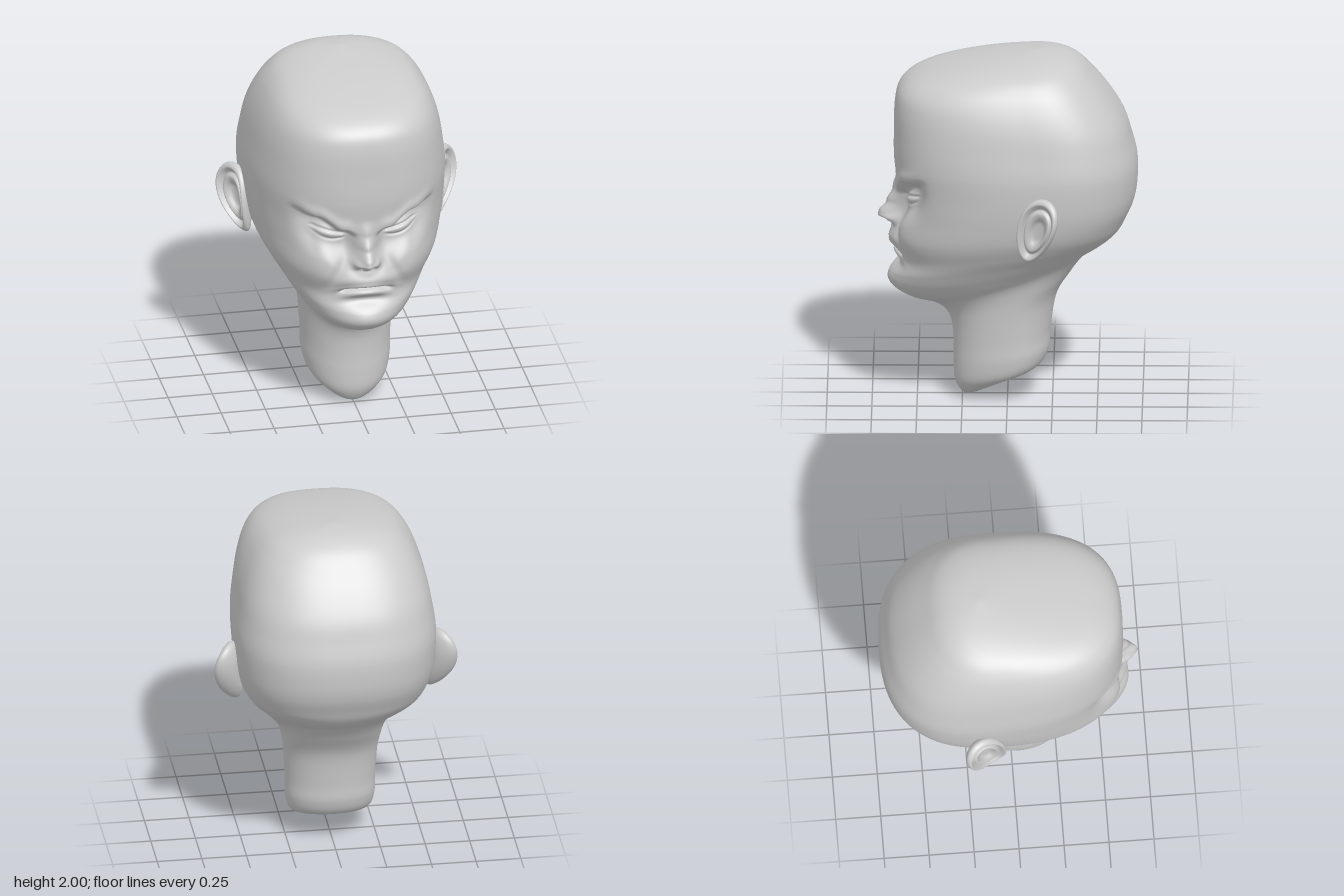
import * as THREE from 'three';
import { mergeVertices } from 'three/addons/utils/BufferGeometryUtils.js';

const skin = new THREE.MeshStandardMaterial({ color: 0xcccccc });

// Tilted cross-sections, crown to neck base: front y, front z, back y, back z, half width
const rings = [
  [2.0, -0.17, 2.0, -0.17, 0],
  [1.965, 0.1, 1.985, -0.3, 0.2],
  [1.92, 0.33, 1.94, -0.4, 0.34],
  [1.87, 0.5, 1.86, -0.48, 0.42],
  [1.8, 0.595, 1.75, -0.57, 0.475],
  [1.7, 0.625, 1.62, -0.65, 0.515],
  [1.55, 0.63, 1.5, -0.69, 0.54],
  [1.4, 0.63, 1.38, -0.72, 0.558],
  [1.25, 0.615, 1.25, -0.72, 0.555],
  [1.1, 0.61, 1.15, -0.7, 0.54],
  [0.95, 0.62, 1.06, -0.66, 0.51],
  [0.82, 0.6, 1.0, -0.63, 0.46],
  [0.72, 0.64, 0.95, -0.59, 0.41],
  [0.64, 0.63, 0.91, -0.54, 0.37],
  [0.58, 0.54, 0.87, -0.47, 0.33],
  [0.55, 0.42, 0.82, -0.42, 0.295],
  [0.5, 0.345, 0.74, -0.36, 0.275],
  [0.42, 0.31, 0.6, -0.275, 0.26],
  [0.3, 0.3, 0.4, -0.24, 0.25],
  [0.2, 0.3, 0.28, -0.23, 0.248],
  [0.1, 0.295, 0.19, -0.18, 0.225],
  [0.04, 0.27, 0.13, -0.04, 0.16],
  [0.01, 0.24, 0.06, 0.1, 0.08],
  [0.0, 0.2, 0.0, 0.2, 0],
];

const step = (v, a, b) => THREE.MathUtils.smoothstep(v, a, b);
const bump = (dx, dy, sx, sy) => Math.exp(-((dx / sx) ** 2) - (dy / sy) ** 2);

// Smooth value through [position, value] pairs given in rising order
function along(table, p) {
  if (p <= table[0][0]) return table[0][1];
  for (let i = 1; i < table.length; i++) {
    const [a, va] = table[i - 1], [b, vb] = table[i];
    if (p <= b) return va + (vb - va) * step(p, a, b);
  }
  return table[table.length - 1][1];
}

// Catmull-Rom blend of the cross-sections
function ringAt(i, t) {
  const at = (k) => rings[Math.min(Math.max(k, 0), rings.length - 1)];
  const [a, b, c, d] = [at(i - 1), at(i), at(i + 1), at(i + 2)];
  return b.map((v, k) => v + 0.5 * t * (c[k] - a[k] + t * (2 * a[k] - 5 * v + 4 * c[k] - d[k]
    + t * (3 * (v - c[k]) + d[k] - a[k]))));
}

const noseHeight = [[0.94, 0], [0.985, 0.015], [1.01, 0.055], [1.035, 0.104], [1.06, 0.104],
  [1.12, 0.062], [1.2, 0.025], [1.29, 0]];
const noseWidth = [[0.98, 0.045], [1.04, 0.046], [1.12, 0.036], [1.25, 0.035]];
const browLine = [[0.05, 1.2], [0.12, 1.225], [0.27, 1.305], [0.42, 1.36]];

// Forward relief of the face at (x, y)
function faceRelief(x, y) {
  const ax = Math.abs(x);
  // nose and nostril wings
  let d = along(noseHeight, y) * Math.exp(-((x / along(noseWidth, y)) ** 2));
  d += 0.035 * bump(ax - 0.055, y - 1.028, 0.024, 0.026);
  d -= 0.02 * bump(ax - 0.03, y - 1.004, 0.016, 0.01);
  // scowling brow over sunken sockets
  const below = along(browLine, ax) - y;
  const side = step(ax, 0.035, 0.12) * (1 - step(ax, 0.28, 0.43));
  d -= 0.068 * side * step(below, -0.015, 0.03) * (1 - step(below, 0.05, 0.26));
  d += 0.014 * side * bump(0, below + 0.03, 1, 0.035);
  // eyeball, lid slit and lower lid fold
  const ex = ax - 0.205, ey = y - 1.198 - 0.25 * ex;
  d += 0.036 * bump(ex, ey, 0.085, 0.04);
  const eye = 1 - step(Math.abs(ex), 0.06, 0.11);
  d -= 0.014 * eye * bump(0, ey - 0.012, 1, 0.008);
  d -= 0.01 * eye * bump(0, ey + 0.036 - 3 * ex * ex, 1, 0.008);
  // cheeks and nose-to-mouth folds
  d += 0.02 * bump(ax - 0.25, y - 1.0, 0.1, 0.11);
  d -= 0.016 * bump(ax - 0.14 - 0.5 * (1.0 - y), 0, 0.035, 1) * bump(0, y - 0.97, 1, 0.09);
  // lips, mouth line and chin
  const my = y - 0.872 + 1.1 * x * x;
  const mouth = 1 - step(ax, 0.1, 0.17);
  d += 0.042 * bump(x, y - 0.92, 0.15, 0.05);
  d += 0.028 * bump(x, my + 0.032, 0.12, 0.024);
  d += 0.014 * bump(x, my - 0.02, 0.13, 0.016);
  d -= 0.03 * mouth * bump(0, my, 1, 0.011);
  d -= 0.016 * bump(x, y - 0.79, 0.12, 0.028);
  d += 0.022 * bump(x, y - 0.69, 0.13, 0.06);
  return d;
}

// Head and neck: one loft, finer over the face
function makeHead() {
  const cols = 180, rows = [], pos = [], index = [];
  for (let i = 0; i < rings.length - 1; i++) {
    const n = i >= 7 && i < 13 ? 26 : 6;
    for (let k = 0; k < n; k++) rows.push(ringAt(i, k / n));
  }
  rows.push(rings[rings.length - 1]);
  const power = (v, e) => Math.sign(v) * Math.abs(v) ** e;
  rows.forEach(([yf, zf, yb, zb, w], j) => {
    const e = 2 / (2.1 + 0.35 * step(yf, 0.6, 0.9) + 0.2 * step(yf, 1.2, 1.6) - 0.3 * step(yf, 1.85, 1.98));
    const zc = 0.4 * zf + 0.6 * zb;
    for (let i = 0; i < cols; i++) {
      const t = (i / cols) * Math.PI * 2, a = t - 0.55 * Math.sin(t);
      const s = power(Math.cos(a), e);
      const x = w * power(Math.sin(a), e);
      const f = 0.4 + s * (s > 0 ? 0.6 : 0.4);
      const y = yb + (yf - yb) * f;
      let z = zc + s * (s > 0 ? zf - zc : zc - zb);
      if (y > 0.55 && y < 1.5) z += faceRelief(x, y) * step(z, 0.2, 0.42);
      pos.push(x, y, z);
      if (j < rows.length - 1) {
        const p = j * cols + i, q = j * cols + ((i + 1) % cols);
        index.push(p, p + cols, q, q, p + cols, q + cols);
      }
    }
  });
  const geo = new THREE.BufferGeometry();
  geo.setAttribute('position', new THREE.Float32BufferAttribute(pos, 3));
  geo.setIndex(index);
  const joined = mergeVertices(geo, 1e-5);
  joined.computeVertexNormals();
  return joined;
}

// Ear: a turned bowl with a rolled rim, bent into an egg shape and set against the head
function makeEar(side) {
  const profile = [[0, -0.085], [0.5, -0.07], [0.85, -0.035], [1, 0], [0.97, 0.022], [0.88, 0.027],
    [0.79, 0.012], [0.7, -0.004], [0.6, 0.008], [0.45, -0.002], [0.28, -0.025], [0, -0.03]];
  const curve = new THREE.SplineCurve(profile.map(([r, h]) => new THREE.Vector2(r, h)));
  const points = curve.getPoints(50);
  points.forEach((p) => { p.x = Math.max(p.x, 0); });
  let geo = new THREE.LatheGeometry(points, 64);
  geo.deleteAttribute('uv');
  geo.deleteAttribute('normal');
  const p = geo.attributes.position;
  for (let i = 0; i < p.count; i++) {
    const v = p.getZ(i), h = p.getY(i);
    const u = -side * p.getX(i) * 0.115 * (1 + 0.25 * v) + 0.05 * v;
    const out = 0.6 + 0.49 * u + 0.87 * h - 0.045 * v * v;
    p.setXYZ(i, side * out, 1.12 + 0.19 * v, -0.165 - 0.87 * u + 0.49 * h);
  }
  geo = mergeVertices(geo, 1e-5);
  geo.computeVertexNormals();
  return geo;
}

export function createModel() {
  const model = new THREE.Group();
  const add = (name, geo) => {
    const mesh = new THREE.Mesh(geo, skin);
    mesh.name = name;
    model.add(mesh);
  };
  add('headAndNeck', makeHead());
  add('leftEar', makeEar(1));
  add('rightEar', makeEar(-1));
  return model;
}
